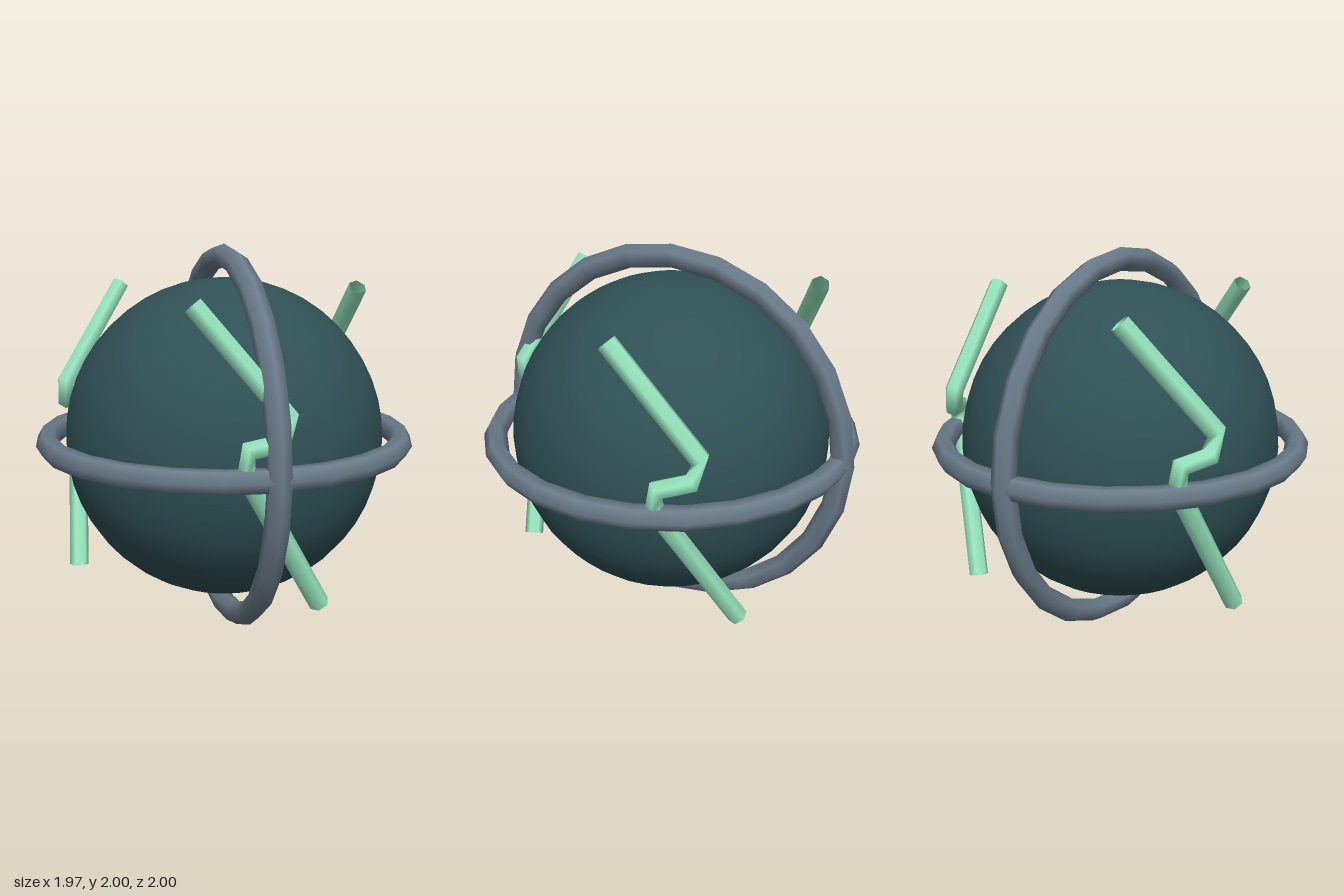
import * as THREE from 'three';

// Curve that runs in straight pieces through its points, one step per piece
class ZigzagCurve extends THREE.Curve {
  constructor(points) {
    super();
    this.points = points;
  }
  getPoint(t, target = new THREE.Vector3()) {
    const n = this.points.length - 1;
    const i = Math.min(Math.floor(t * n), n - 1);
    return target.lerpVectors(this.points[i], this.points[i + 1], t * n - i);
  }
  getPointAt(u, target) { return this.getPoint(u, target); }
  getTangentAt(u, target) { return this.getTangent(u, target); }
}

export function createModel() {
  const model = new THREE.Group();
  model.name = 'ringedOrb';

  const orbMat = new THREE.MeshStandardMaterial({ color: 0x2f5055 });
  orbMat.name = 'dark teal';
  const ringMat = new THREE.MeshStandardMaterial({ color: 0x6a7b8a });
  ringMat.name = 'slate grey';
  const boltMat = new THREE.MeshStandardMaterial({ color: 0x98e8c0, side: THREE.DoubleSide });
  boltMat.name = 'mint green';

  const add = (name, geometry, material) => {
    const mesh = new THREE.Mesh(geometry, material);
    mesh.name = name;
    mesh.position.y = 1;
    model.add(mesh);
    return mesh;
  };

  // Central orb
  add('orb', new THREE.SphereGeometry(0.83, 32, 24), orbMat);

  // Two crossing hexagonal-section rings
  add('uprightRing', new THREE.TorusGeometry(0.94, 0.06, 6, 24), ringMat).rotation.y = Math.PI / 2;
  add('levelRing', new THREE.TorusGeometry(0.925, 0.06, 6, 24), ringMat).rotation.x = Math.PI / 2;

  // Three open zigzag tubes spaced evenly around the orb
  const path = new ZigzagCurve([
    [-0.33, 0.76, 0.69],
    [0.07, 0.26, 0.865],
    [0.03, 0.155, 0.88],
    [-0.13, 0.135, 0.9],
    [-0.14, 0.03, 0.89],
    [0.28, -0.69, 0.73],
  ].map((p) => new THREE.Vector3(...p)));
  const boltGeometry = new THREE.TubeGeometry(path, 5, 0.05, 6, false);
  for (let i = 0; i < 3; i++) {
    add('zigzagTube' + (i + 1), boltGeometry, boltMat).rotation.y = (i * Math.PI * 2) / 3;
  }

  return model;
}
